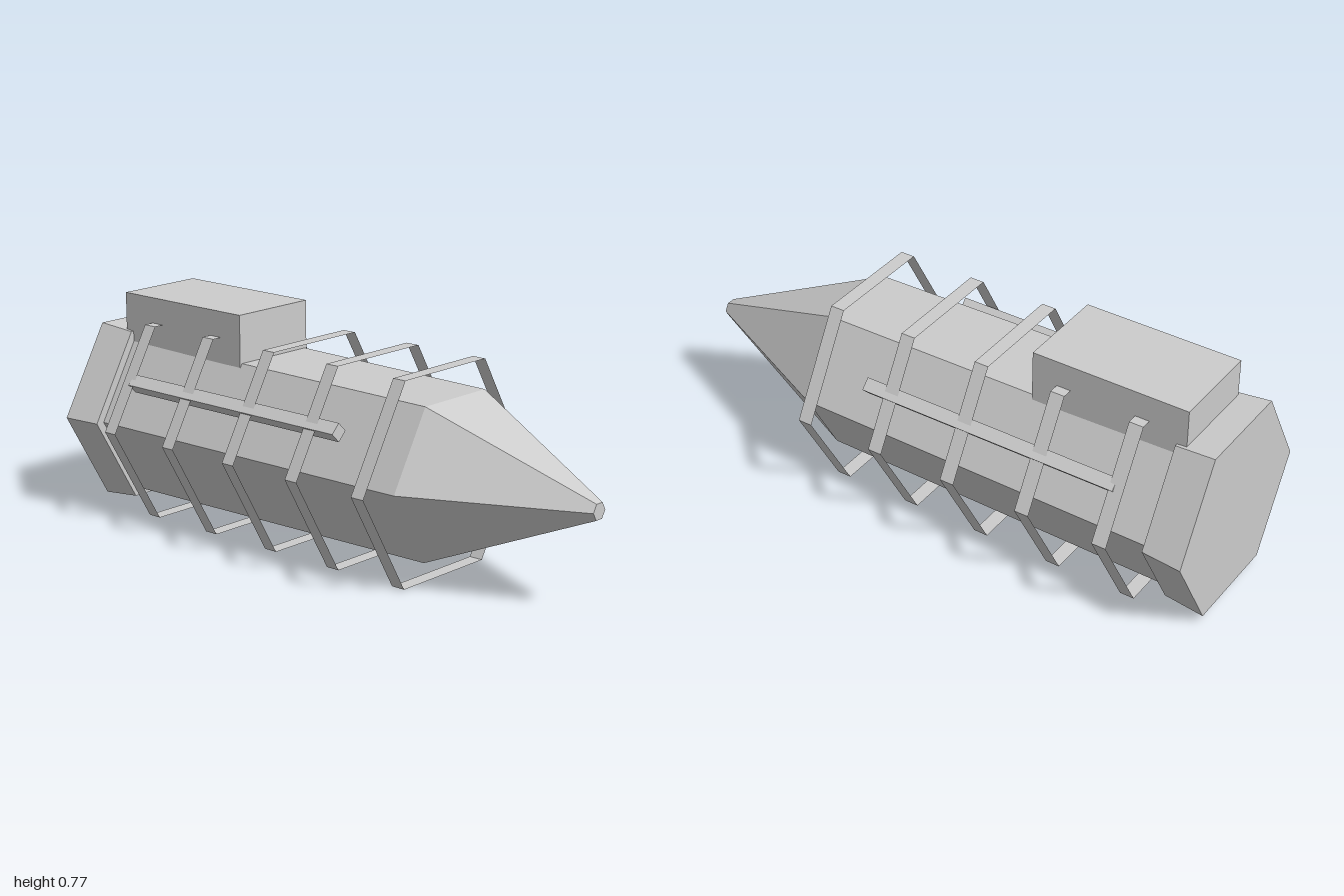
import * as THREE from 'three';

const AXIS_Y = 0.34; // height of the hull's long axis

export function createModel() {
  const model = new THREE.Group();
  const grey = new THREE.MeshStandardMaterial({
    color: 0xcccccc, flatShading: true, side: THREE.DoubleSide,
  });
  grey.name = 'light grey';

  const add = (name, geometry, x, y, z) => {
    const mesh = new THREE.Mesh(geometry, grey);
    mesh.name = name;
    mesh.position.set(x, y, z);
    model.add(mesh);
  };

  // Prism lying along z, from zBack to zFront
  const prism = (name, rFront, rBack, zFront, zBack, { sides = 6, open = false, x = 0, y = AXIS_Y } = {}) => {
    const start = sides === 6 ? Math.PI / 6 : 0;
    const geometry = new THREE.CylinderGeometry(rFront, rBack, zFront - zBack, sides, 1, open, start);
    geometry.rotateX(Math.PI / 2);
    add(name, geometry, x, y, (zFront + zBack) / 2);
  };

  // Hexagonal hull
  prism('nose', 0.03, 0.293, 1, 0.44);
  prism('hull', 0.293, 0.31, 0.44, -0.86);
  prism('tail', 0.341, 0.355, -0.86, -1);

  // Thin open bands around the hull
  for (let i = 0; i < 5; i++) {
    const z = 0.376 - i * 0.2785;
    prism('ring', 0.391, 0.391, z + 0.025, z - 0.025, { open: true });
  }

  // Diamond-section rails
  for (const side of [1, -1]) {
    prism(side > 0 ? 'leftRail' : 'rightRail', 0.031, 0.031, 0.2, -0.73,
      { sides: 4, x: side * 0.278, y: 0.494 });
  }

  // Block on the back
  add('topBlock', new THREE.BoxGeometry(0.32, 0.177, 0.548), 0, 0.6785, -0.62);

  return model;
}
